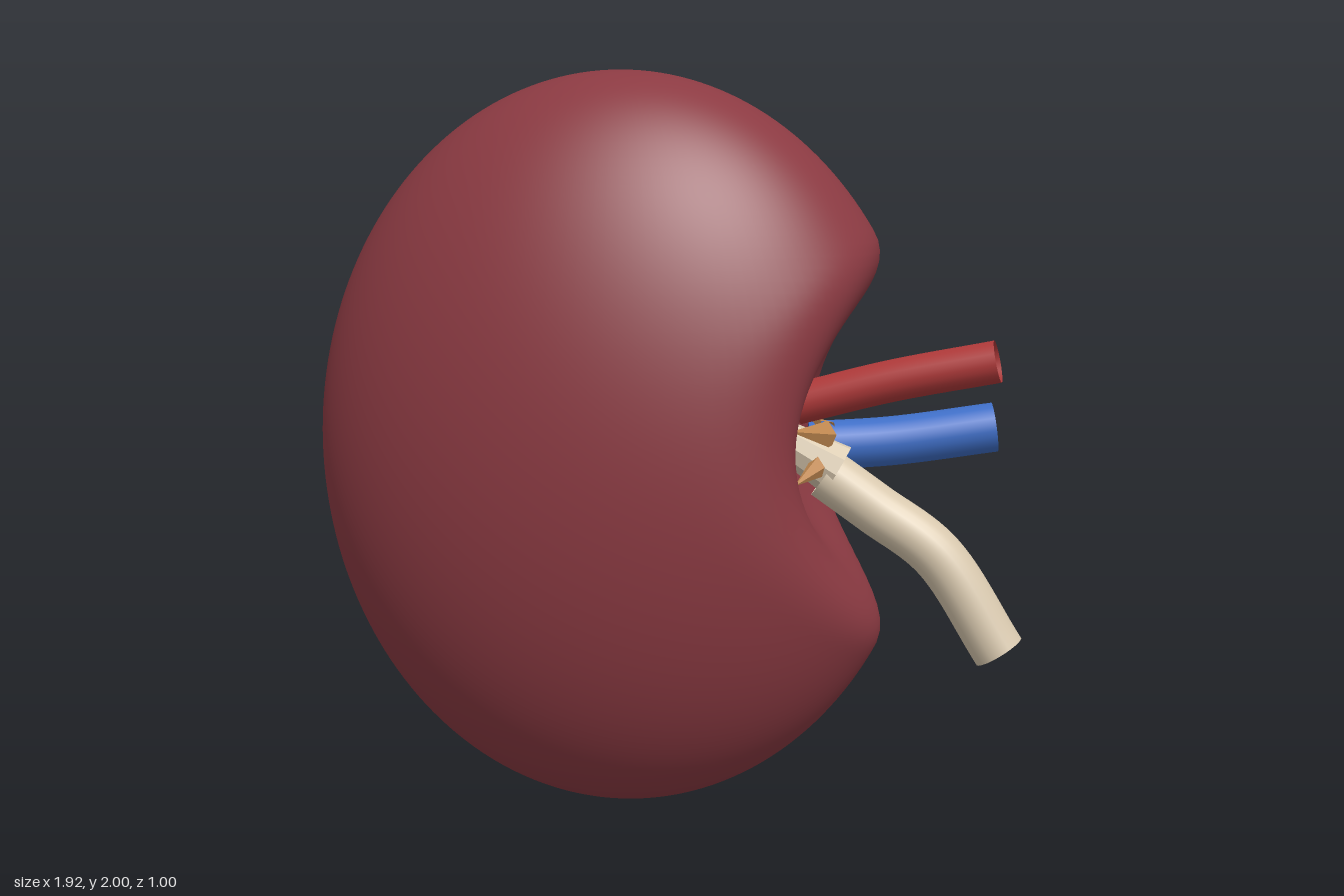
import * as THREE from 'three';
import { mergeVertices } from 'three/addons/utils/BufferGeometryUtils.js';

const V = (x, y, z) => new THREE.Vector3(x, y, z);
const paint = (color, opts = {}) =>
  new THREE.MeshStandardMaterial({ color, side: THREE.DoubleSide, ...opts });

function addMesh(group, name, geometry, material) {
  const mesh = new THREE.Mesh(geometry, material);
  mesh.name = name;
  group.add(mesh);
  return mesh;
}

// Ellipsoid with a rounded bowl pressed into its +x side
function bodyGeometry() {
  const geo = new THREE.SphereGeometry(1, 128, 96);
  geo.scale(0.83, 1, 0.5);
  geo.translate(-0.13, 1, 0);
  const p = geo.attributes.position;
  for (let i = 0; i < p.count; i++) {
    const x = p.getX(i);
    const d2 = ((p.getY(i) - 1.02) / 0.56) ** 2 + (p.getZ(i) / 0.5) ** 2;
    const fall = Math.max(0, 1 - d2) ** 2;
    p.setX(i, x - 0.4 * fall * THREE.MathUtils.smoothstep(x, 0, 0.3));
  }
  geo.deleteAttribute('uv');
  geo.deleteAttribute('normal');
  const merged = mergeVertices(geo, 1e-5);
  merged.computeVertexNormals();
  return merged;
}

// Open cone or cylinder running from a to b, flattened by a factor
function coneBetween(a, b, ra, rb, sides, flat = 1) {
  const dir = b.clone().sub(a);
  const geo = new THREE.CylinderGeometry(rb, ra, dir.length(), sides, 1, true);
  geo.scale(flat, 1, 1);
  geo.applyQuaternion(new THREE.Quaternion().setFromUnitVectors(V(0, 1, 0), dir.clone().normalize()));
  const mid = a.clone().add(b).multiplyScalar(0.5);
  return geo.translate(mid.x, mid.y, mid.z);
}

export function createModel() {
  const group = new THREE.Group();
  group.name = 'kidney';
  const cream = 0xd8c8ae;

  addMesh(group, 'body', bodyGeometry(), paint(0x8b3a42));

  // Open-ended vessels
  const vessels = [
    ['artery', 0xb03a3a, 0.056, [V(0.35, 1.12, 0.015), V(0.6, 1.19, 0.04), V(0.875, 1.25, 0.07)]],
    ['vein', 0x3f6fc8, 0.067, [V(0.38, 0.995, -0.06), V(0.6, 1.01, -0.085), V(0.875, 1.05, -0.11)]],
    ['ureter', cream, 0.07, [V(0.43, 0.93, 0), V(0.56, 0.84, 0.005), V(0.73, 0.72, 0.02), V(0.9, 0.465, 0.035)]],
  ];
  for (const [name, color, radius, points] of vessels) {
    const path = new THREE.CatmullRomCurve3(points);
    addMesh(group, name, new THREE.TubeGeometry(path, 32, radius, 24, false), paint(color));
  }

  // Funnel between the bowl and the ureter
  addMesh(group, 'pelvis', coneBetween(V(0.3, 1.03, 0), V(0.46, 0.94, 0), 0.05, 0.075, 10),
    paint(cream, { flatShading: true }));

  // Pointed calyces spreading from the funnel
  const tips = [V(0.35, 1.07, 0.18), V(0.36, 0.925, 0.16), V(0.36, 0.945, -0.18), V(0.35, 1.07, -0.14)];
  tips.forEach((tip, i) => {
    const base = V(0.43, tip.y > 1 ? 1.04 : 0.97, 0.02 * Math.sign(tip.z));
    addMesh(group, `calyx${i + 1}`, coneBetween(base, tip, 0.04, 0.001, 5, 0.75),
      paint(0xc08850, { flatShading: true }));
  });

  return group;
}
